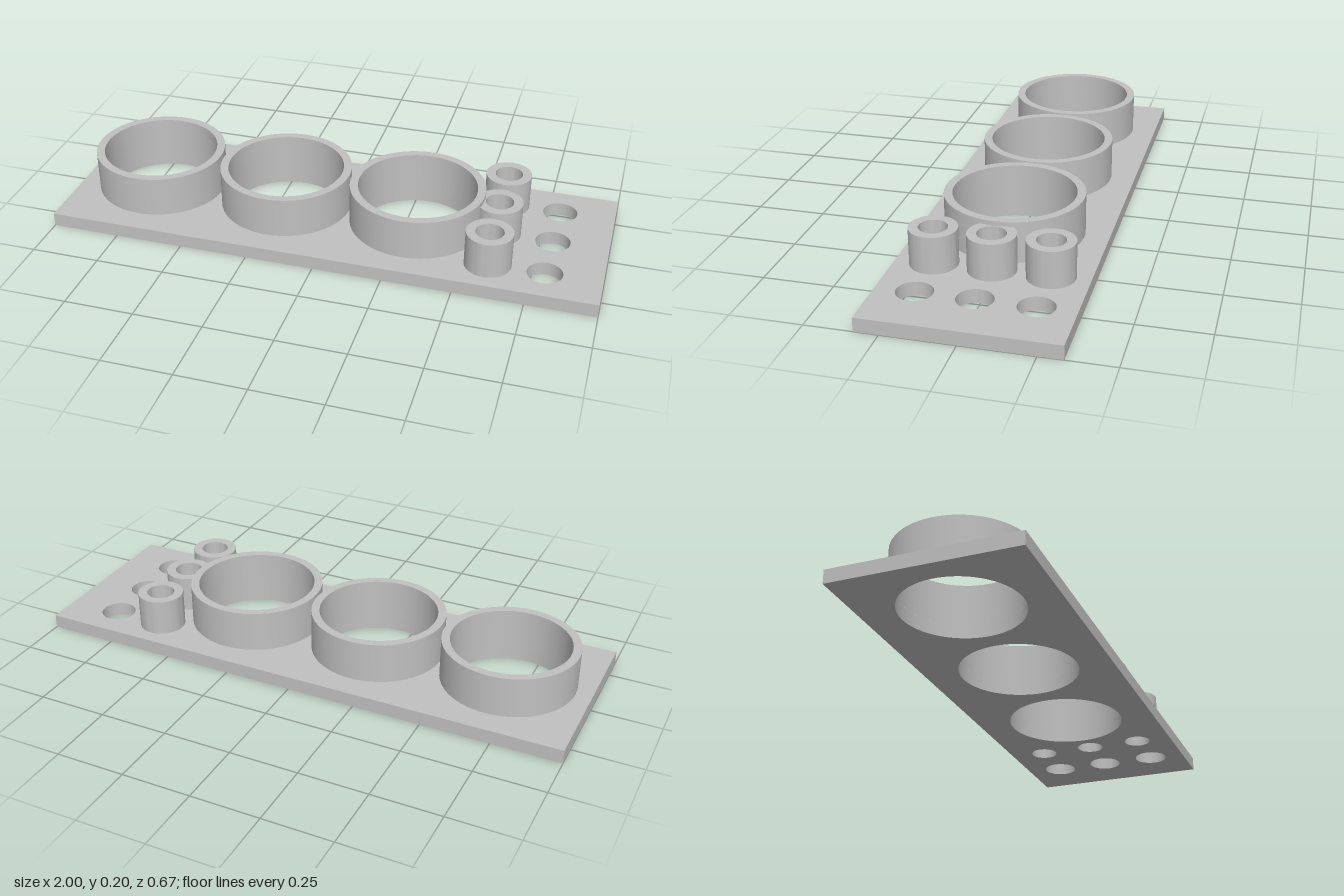
import * as THREE from 'three';
import { toCreasedNormals } from 'three/addons/utils/BufferGeometryUtils.js';

const SEGMENTS = 64;
const PLATE_HEIGHT = 0.05;
const CREASE = Math.PI / 6;

export function createModel() {
  const model = new THREE.Group();
  model.name = 'testPlate';
  const grey = new THREE.MeshStandardMaterial({ color: 0xc0c0c0 });
  grey.name = 'lightGrey';

  const rows = [-0.2, 0, 0.2];
  // Large rings grow slightly towards +x
  const rings = [
    { x: -0.7, z: 0, outer: 0.242, inner: 0.212, top: 0.2 },
    { x: -0.2, z: 0, outer: 0.244, inner: 0.214, top: 0.2 },
    { x: 0.3, z: 0, outer: 0.2465, inner: 0.2165, top: 0.2 },
  ];
  const posts = rows.map((z) => ({ x: 0.6, z, outer: 0.0833, inner: 0.05, top: 0.1835 }));
  const plainHoles = rows.map((z) => ({ x: 0.8, z, inner: 0.0625 }));

  const addMesh = (name, geometry) => {
    const mesh = new THREE.Mesh(toCreasedNormals(geometry, CREASE), grey);
    mesh.name = name;
    model.add(mesh);
    return mesh;
  };

  // Base plate with every bore cut through it
  const outline = new THREE.Shape();
  outline.moveTo(-1, -0.3335).lineTo(1, -0.3335).lineTo(1, 0.3335).lineTo(-1, 0.3335).closePath();
  for (const { x, z, inner } of [...rings, ...posts, ...plainHoles]) {
    outline.holes.push(new THREE.Path().absarc(x, -z, inner, 0, Math.PI * 2, true));
  }
  const plate = new THREE.ExtrudeGeometry(outline, {
    depth: PLATE_HEIGHT, bevelEnabled: false, curveSegments: SEGMENTS,
  });
  addMesh('basePlate', plate.rotateX(-Math.PI / 2));

  // Hollow cylinder: outer wall, flat rim, inner wall
  const addTube = (name, { x, z, outer, inner, top }) => {
    const profile = [
      [outer, PLATE_HEIGHT], [outer, top], [inner, top], [inner, PLATE_HEIGHT],
    ].map(([r, y]) => new THREE.Vector2(r, y));
    addMesh(name, new THREE.LatheGeometry(profile, SEGMENTS)).position.set(x, 0, z);
  };
  rings.forEach((ring, i) => addTube(`largeRing${i + 1}`, ring));
  posts.forEach((post, i) => addTube(`smallPost${i + 1}`, post));

  return model;
}
